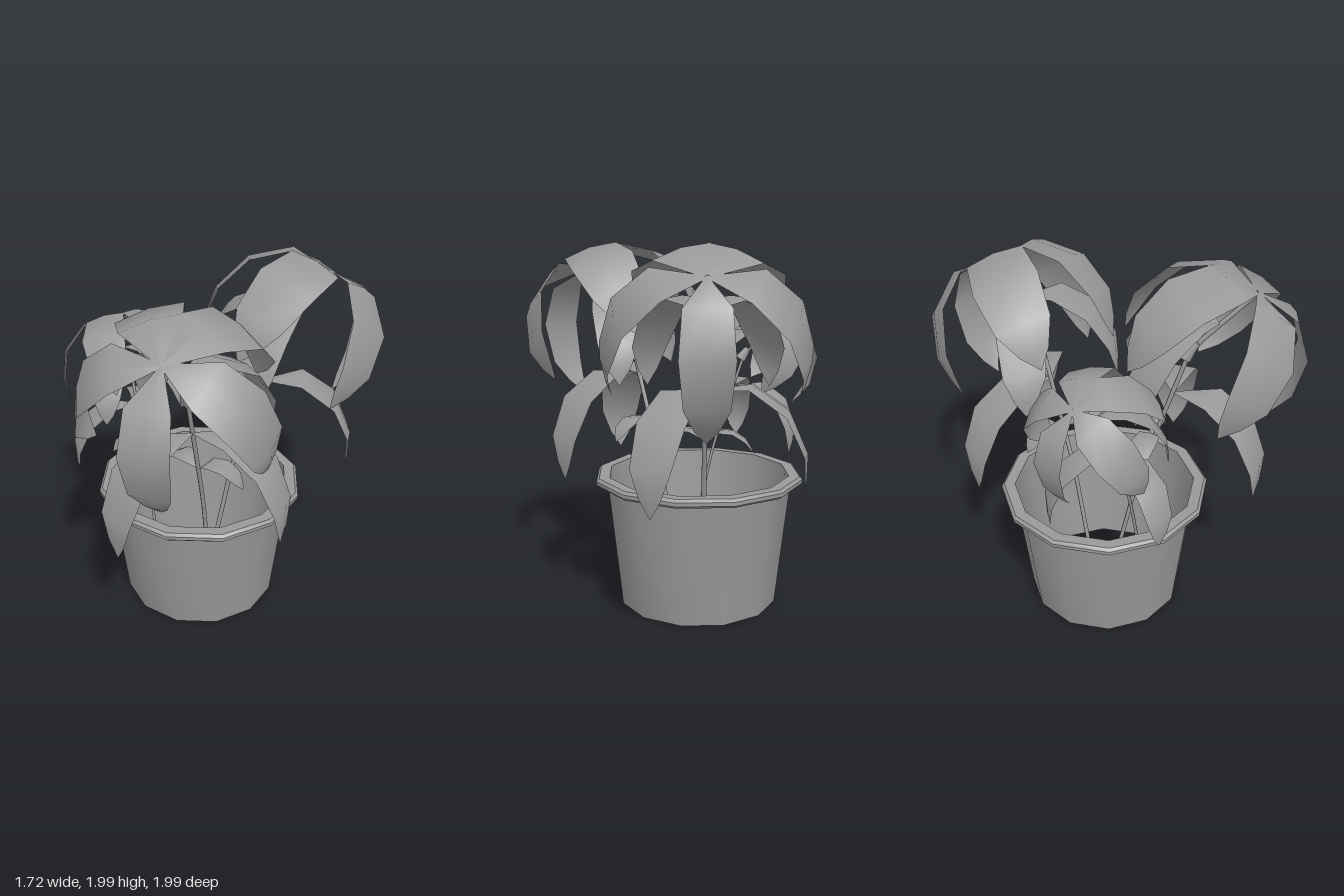
import * as THREE from 'three';
import { toCreasedNormals } from 'three/addons/utils/BufferGeometryUtils.js';

const material = new THREE.MeshStandardMaterial({ color: 0x999999, side: THREE.DoubleSide });
const rad = THREE.MathUtils.degToRad;

function add(parent, geometry, name) {
  const mesh = new THREE.Mesh(geometry, material);
  mesh.name = name;
  parent.add(mesh);
  return mesh;
}

// Arching leaf growing along +z, bending over segment by segment, with a slightly raised midrib
function leafGeometry(length, width) {
  const pitches = [3, -40, -72, -97, -105];
  const steps = [0.25, 0.25, 0.25, 0.15, 0.1];
  const widths = [0.06, 0.88, 1, 0.84, 0.45, 0];
  const positions = [], index = [];
  let y = 0, z = 0;
  widths.forEach((w, i) => {
    if (i > 0) {
      const p = rad(pitches[i - 1]);
      z += Math.cos(p) * length * steps[i - 1];
      y += Math.sin(p) * length * steps[i - 1];
    }
    // the fold lies across the direction of the leaf at this station
    const a = rad(((pitches[i - 1] ?? 3) + (pitches[i] ?? -105)) / 2);
    const half = w * width / 2, fold = half * 0.12;
    for (const s of [-1, 0, 1]) {
      const d = s === 0 ? 0 : -fold;
      positions.push(s * half, y + Math.cos(a) * d, z - Math.sin(a) * d);
    }
    if (i < widths.length - 1) {
      for (let j = 0; j < 2; j++) {
        const k = i * 3 + j;
        index.push(k, k + 3, k + 1, k + 1, k + 3, k + 4);
      }
    }
  });
  const geometry = new THREE.BufferGeometry();
  geometry.setAttribute('position', new THREE.Float32BufferAttribute(positions, 3));
  geometry.setIndex(index);
  geometry.computeVertexNormals();
  return geometry;
}

// Leaf attached at a point, turned by azimuth and raised by lift (degrees)
function addLeaf(parent, name, [x, y, z], azimuth, lift, length, width) {
  const leaf = add(parent, leafGeometry(length, width), name);
  leaf.position.set(x, y, z);
  leaf.rotation.set(rad(-lift), rad(azimuth), 0, 'YXZ');
}

// One plant, rooted below its origin and leaning toward +z
function createPlant() {
  const plant = new THREE.Group();
  const node = new THREE.Vector3(0, 1.17, 0.39);
  const head = new THREE.Vector3(0, 1.49, 0.72);

  const root = new THREE.Vector3(0, -0.26, 0);
  const bend = new THREE.Vector3(0, 0.38, 0.135);
  const path = new THREE.CurvePath();
  [root, bend, node].forEach((p, i, points) =>
    path.add(new THREE.LineCurve3(p, points[i + 1] ?? head)));
  add(plant, new THREE.TubeGeometry(path, 16, 0.013, 6), 'stem');

  // Swollen joint where the stem bends
  const joint = add(plant, new THREE.CylinderGeometry(0.025, 0.045, 0.11, 6), 'stemJoint');
  joint.position.copy(node);
  joint.rotation.x = rad(35);

  // Crown of five leaves, tilted outward with the stem
  const crown = new THREE.Group();
  crown.name = 'crown';
  crown.position.copy(head);
  crown.rotation.x = rad(32);
  plant.add(crown);
  [
    [0, 0.95, 0.25], [74, 0.98, 0.31], [146, 0.99, 0.35], [209, 0.99, 0.35], [283, 0.98, 0.31],
  ].forEach(([azimuth, length, width]) =>
    addLeaf(crown, 'crownLeaf', [0, 0, 0], azimuth, 0, length, width));

  // Inner leaves below the crown
  for (const azimuth of [141, -146]) {
    addLeaf(plant, 'innerLeaf', [0, 1.32, 0.53], azimuth, 15, 0.87, 0.26);
  }

  // Lower drooping leaves
  for (const azimuth of [82, -31]) {
    addLeaf(plant, 'lowerLeaf', [0, 0.91, 0.31], azimuth, 6, 0.94, 0.27);
  }

  // Young leaves near the base
  for (const azimuth of [85, -117]) {
    addLeaf(plant, 'youngLeaf', [0, 0.63, 0.21], azimuth, 38, 0.34, 0.14);
  }
  return plant;
}

// Twelve-sided tapered pot with a rolled rim, open at the bottom
function createPot() {
  const profile = [
    [0.44, 0], [0.515, 0.69], [0.565, 0.687], [0.58, 0.7], [0.58, 0.72],
    [0.565, 0.735], [0.505, 0.735], [0.5, 0.69], [0.43, 0], [0.44, 0],
  ].map(([r, y]) => new THREE.Vector2(r, y));
  const geometry = new THREE.LatheGeometry(profile, 12);
  geometry.deleteAttribute('normal');
  geometry.deleteAttribute('uv');
  return toCreasedNormals(geometry, rad(35));
}

export function createModel() {
  const model = new THREE.Group();
  model.name = 'pottedPlants';

  add(model, createPot(), 'pot').position.set(-0.065, 0, -0.07);

  // Three plants: position, heading and size
  [
    ['frontPlant', [0.02, 0.35, 0], 0, 1],
    ['backPlant', [-0.02, 0.35, -0.15], 132, 1],
    ['smallPlant', [-0.27, 0.55, 0.12], 225, 0.69],
  ].forEach(([name, position, heading, size]) => {
    const plant = createPlant();
    plant.name = name;
    plant.position.set(...position);
    plant.rotation.y = rad(heading);
    plant.scale.setScalar(size);
    model.add(plant);
  });
  return model;
}
